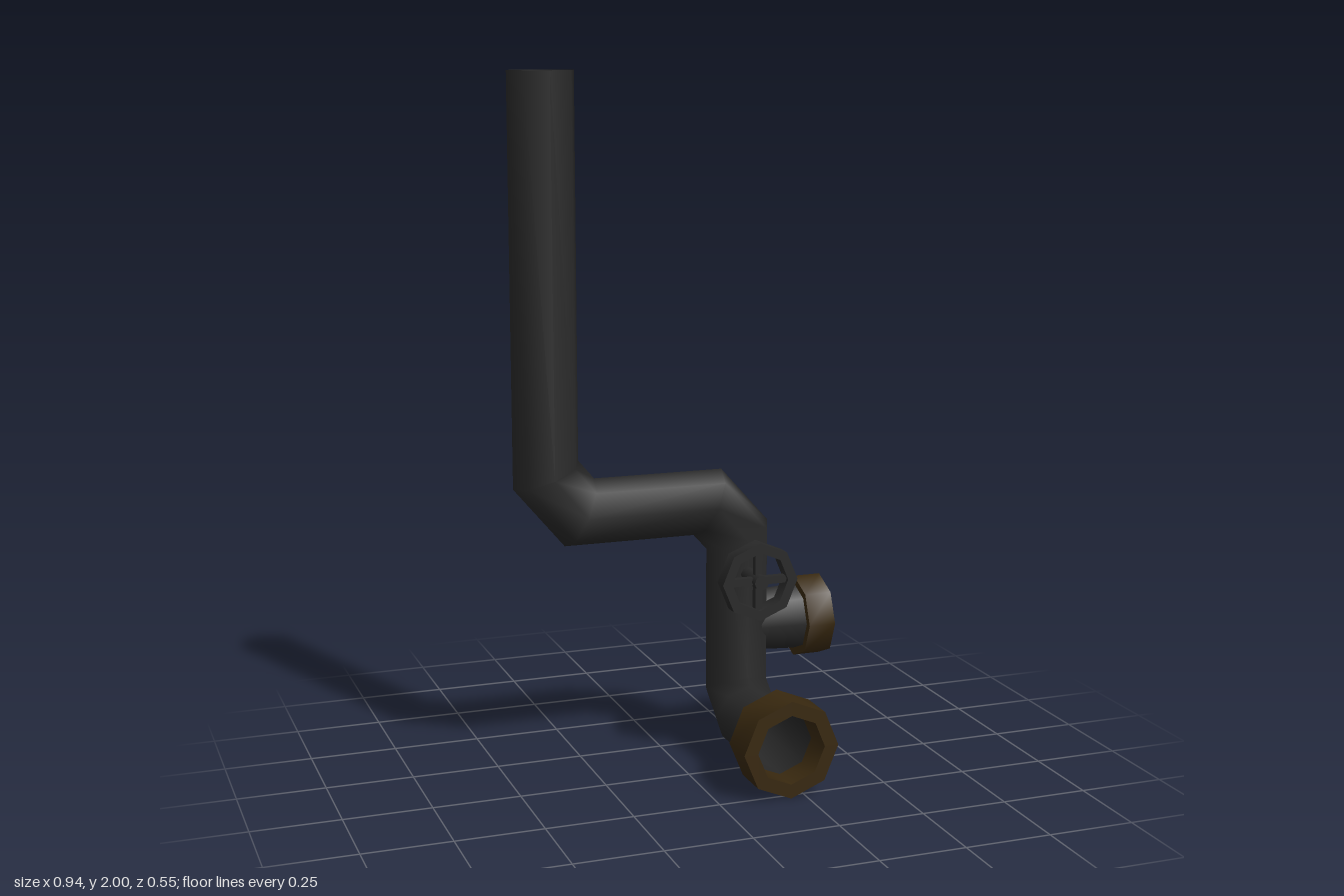
import * as THREE from 'three';
import { toCreasedNormals } from 'three/addons/utils/BufferGeometryUtils.js';

const SIDES = 8;
const V = (x, y, z) => new THREE.Vector3(x, y, z);

// Octagonal tube with mitred joints along a polyline that starts downwards
function mitredPipe(path, radius) {
  const dirs = path.slice(1).map((p, i) => p.clone().sub(path[i]).normalize());
  let ring = [];
  for (let j = 0; j < SIDES; j++) {
    const a = (j / SIDES) * Math.PI * 2;
    ring.push(path[0].clone().add(V(Math.cos(a) * radius, 0, Math.sin(a) * radius)));
  }
  const pos = [], index = [];
  path.forEach((p, i) => {
    if (i > 0) {
      const d = dirs[i - 1];
      const n = d.clone().add(dirs[i] || d).normalize();
      // slide every corner along the segment onto the mitre plane
      ring = ring.map(q => q.clone().addScaledVector(d, p.clone().sub(q).dot(n) / d.dot(n)));
    }
    ring.forEach(q => pos.push(q.x, q.y, q.z));
    if (i === 0) return;
    for (let j = 0; j < SIDES; j++) {
      const k = (j + 1) % SIDES, a = (i - 1) * SIDES, b = i * SIDES;
      index.push(a + j, a + k, b + j, a + k, b + k, b + j);
    }
  });
  const geo = new THREE.BufferGeometry();
  geo.setAttribute('position', new THREE.Float32BufferAttribute(pos, 3));
  geo.setIndex(index);
  geo.computeVertexNormals();
  return geo;
}

// Octagonal ring of rectangular section, centred, axis along y
function ringGeometry(outer, inner, depth) {
  const h = depth / 2;
  const profile = [[outer, -h], [outer, h], [inner, h], [inner, -h], [outer, -h]];
  const geo = new THREE.LatheGeometry(profile.map(([r, y]) => new THREE.Vector2(r, y)), SIDES);
  return toCreasedNormals(geo, Math.PI * 0.28);
}

export function createModel() {
  const model = new THREE.Group();
  model.name = 'standpipe';

  const iron = new THREE.MeshStandardMaterial({ color: 0x282828, side: THREE.DoubleSide });
  iron.name = 'dark iron';
  const brass = new THREE.MeshStandardMaterial({ color: 0x38280f });
  brass.name = 'aged brass';

  const add = (parent, name, geo, mat, x = 0, y = 0, z = 0) => {
    const mesh = new THREE.Mesh(geo, mat);
    mesh.name = name;
    mesh.position.set(x, y, z);
    parent.add(mesh);
    return mesh;
  };

  // Main pipe: riser, sideways offset, drop and forward outlet
  add(model, 'mainPipe', mitredPipe([
    V(-0.375, 2, -0.14), V(-0.375, 0.885, -0.14), V(-0.278, 0.77, -0.14),
    V(0.108, 0.77, -0.14), V(0.2, 0.667, -0.14), V(0.2, 0.21, -0.14),
    V(0.2, 0.145, -0.055), V(0.2, 0.145, 0.2),
  ], 0.095), iron);

  // Front outlet coupling
  add(model, 'frontCoupling', ringGeometry(0.141, 0.1, 0.115), brass, 0.204, 0.145, 0.2175)
    .rotation.x = Math.PI / 2;

  // Side nozzle and its coupling
  add(model, 'sideNozzle', new THREE.CylinderGeometry(0.101, 0.091, 0.16, SIDES, 1, true), iron, 0.33, 0.398, -0.153)
    .rotation.z = -Math.PI / 2;
  add(model, 'sideCoupling', ringGeometry(0.122, 0.098, 0.081), brass, 0.4285, 0.398, -0.154)
    .rotation.z = -Math.PI / 2;

  // Valve handwheel: rim, crossed spokes and stem
  const wheel = new THREE.Group();
  wheel.name = 'valveWheel';
  wheel.position.set(0.201, 0.568, 0.022);
  wheel.rotation.x = Math.PI / 2;
  model.add(wheel);
  add(wheel, 'rim', ringGeometry(0.114, 0.085, 0.044), iron);
  for (let i = 0; i < 2; i++) {
    add(wheel, 'spoke', new THREE.BoxGeometry(0.18, 0.02, 0.022), iron).rotation.y = i * Math.PI / 2;
  }
  add(wheel, 'stem', new THREE.CylinderGeometry(0.022, 0.022, 0.125, SIDES), iron, 0, -0.03, 0);

  return model;
}
